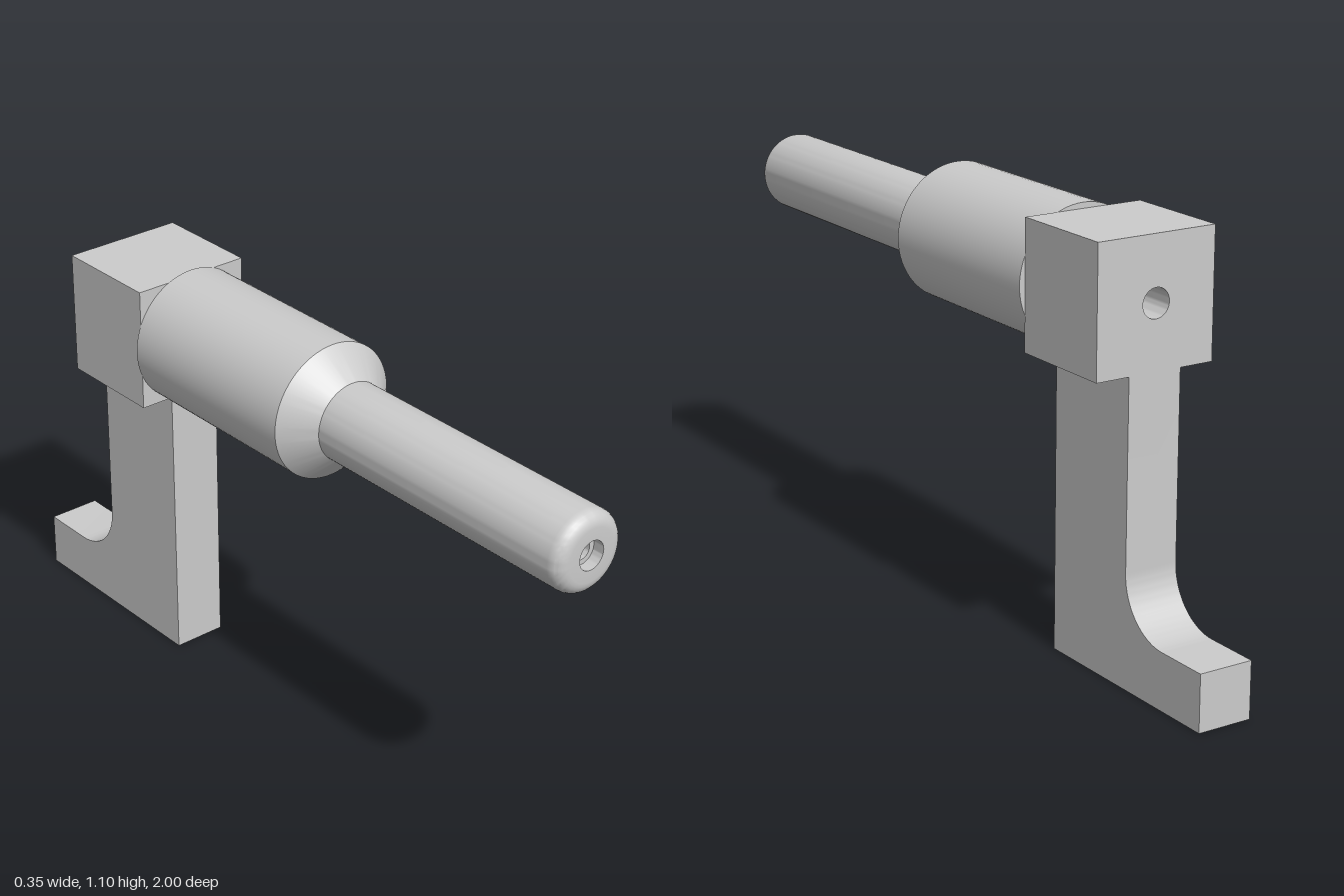
import * as THREE from 'three';
import { toCreasedNormals } from 'three/addons/utils/BufferGeometryUtils.js';

const AXIS_Y = 0.925;   // height of the handle axis
const BACK = -0.71;     // rear face of block and leg
const JOINT = -0.42;    // where the handle meets the block

export function createModel() {
  const group = new THREE.Group();
  const material = new THREE.MeshStandardMaterial({ color: 0xcccccc });
  const add = (name, geometry) => {
    const mesh = new THREE.Mesh(toCreasedNormals(geometry, 0.5), material);
    mesh.name = name;
    group.add(mesh);
    return mesh;
  };

  // Turned handle: thick sleeve, chamfer, slim shaft, rounded tip with a stepped hole
  const r = 0.103, round = 0.035;
  const profile = [[0, JOINT], [0.177, JOINT], [0.177, 0.127], [r, 0.2]];
  for (let i = 0; i <= 6; i++) {
    const a = (i / 6) * Math.PI / 2;
    profile.push([r - round + round * Math.cos(a), 1 - round + round * Math.sin(a)]);
  }
  profile.push([0.037, 1], [0.037, 0.97], [0.024, 0.97], [0.024, 0.87], [0, 0.87]);
  const handle = new THREE.LatheGeometry(profile.map(([x, y]) => new THREE.Vector2(x, y)), 72);
  handle.rotateX(Math.PI / 2);
  add('handle', handle).position.y = AXIS_Y;

  // Square block with a round hole in its rear face
  const h = 0.162;
  const square = new THREE.Shape();
  square.moveTo(-h, -h).lineTo(h, -h).lineTo(h, h).lineTo(-h, h).closePath();
  square.holes.push(new THREE.Path().absarc(0, 0, 0.037, 0, Math.PI * 2, true));
  const block = new THREE.ExtrudeGeometry(square, { depth: JOINT - BACK, bevelEnabled: false, curveSegments: 20 });
  add('block', block).position.set(0, AXIS_Y, BACK);

  // Leg and foot in side profile, joined by a concave fillet
  const w = 0.144, foot = 0.145, fillet = 0.145;
  const side = new THREE.Shape();
  side.moveTo(-JOINT, 0).lineTo(1, 0).lineTo(1, foot).lineTo(-BACK + fillet, foot);
  side.absarc(-BACK + fillet, foot + fillet, fillet, -Math.PI / 2, -Math.PI, true);
  side.lineTo(-BACK, AXIS_Y - h).lineTo(-JOINT, AXIS_Y - h).closePath();
  const leg = new THREE.ExtrudeGeometry(side, { depth: w, bevelEnabled: false, curveSegments: 16 });
  leg.translate(0, 0, -w / 2).rotateY(Math.PI / 2);
  add('legWithFoot', leg);

  return group;
}
